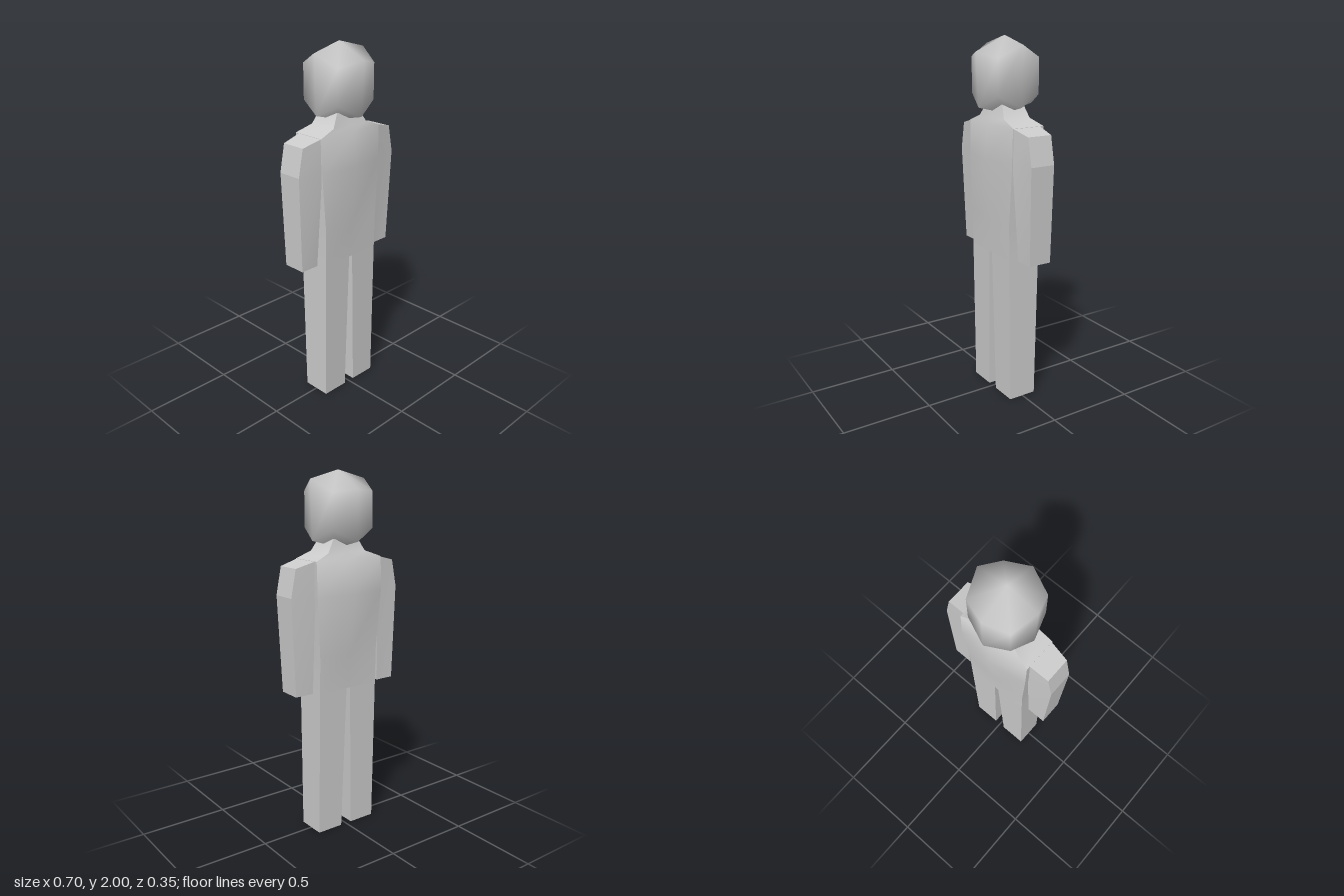
import * as THREE from 'three';
import { toCreasedNormals } from 'three/addons/utils/BufferGeometryUtils.js';

// Skin rings of points, listed bottom to top and counter-clockwise from above.
// Each end closes on a centre point; crease = 0 keeps the whole surface smooth.
function loft(rings, crease, bottomY, topY) {
  const n = rings[0].length, index = [];
  const centre = (ring, y) => [
    ring.reduce((s, p) => s + p[0], 0) / n,
    y ?? ring.reduce((s, p) => s + p[1], 0) / n,
    ring.reduce((s, p) => s + p[2], 0) / n];
  const last = rings.length - 1;
  const points = [...rings.flat(), centre(rings[0], bottomY), centre(rings[last], topY)];
  const low = rings.length * n, high = low + 1;
  for (let j = 0; j < n; j++) {
    const k = (j + 1) % n;
    for (let i = 0; i < last; i++) {
      const a = i * n + j, b = i * n + k;
      index.push(a, b, b + n, a, b + n, a + n);
    }
    index.push(low, k, j, high, last * n + j, last * n + k);
  }
  const geo = new THREE.BufferGeometry();
  geo.setAttribute('position', new THREE.Float32BufferAttribute(points.flat(), 3));
  geo.setIndex(index);
  geo.computeVertexNormals();
  return crease ? toCreasedNormals(geo, crease) : geo;
}

// Mirror rings to the other side, keeping the corner order outward
const mirror = (rings, s) => s > 0 ? rings
  : rings.map(r => r.map(([x, y, z]) => [-x, y, z]).reverse());

export function createModel() {
  const group = new THREE.Group();
  const grey = new THREE.MeshStandardMaterial({ color: 0xcccccc });
  grey.name = 'plain grey';
  const add = (name, geo) => {
    const mesh = new THREE.Mesh(geo, grey);
    mesh.name = name;
    group.add(mesh);
  };

  // Head: eight-sided, with the corners cut back at top and bottom
  const headRing = (c, side, front, back, w, zf, zb) => [
    [w, side, 0], [0.13, c, -0.13], [0, back, zb], [-0.13, c, -0.13],
    [-w, side, 0], [-0.13, c, 0.122], [0, front, zf], [0.13, c, 0.122]];
  add('head', loft([
    headRing(1.7, 1.64, 1.635, 1.64, 0.165, 0.16, -0.175),
    headRing(1.89, 1.955, 1.92, 1.905, 0.175, 0.174, -0.175),
  ], 0, 1.595, 2));

  // Torso and neck: y, half width, front z at centre and side, back z at centre and side
  const torso = [
    [0.835, 0.19, 0.092, 0.09, -0.1, -0.097],
    [1.03, 0.19, 0.097, 0.093, -0.108, -0.1],
    [1.36, 0.212, 0.125, 0.09, -0.148, -0.112],
    [1.545, 0.212, 0.105, 0.085, -0.112, -0.105],
    [1.58, 0.12, 0.085, 0.08, -0.085, -0.08],
    [1.66, 0.072, 0.062, 0.06, -0.067, -0.065],
  ].map(([y, w, fc, fs, bc, bs]) => [
    [w, y, fs], [w, y, bs], [0, y, bc], [-w, y, bs], [-w, y, fs], [0, y, fc]]);
  add('torso', loft(torso, 0.7));

  // Four-cornered limb section: inner x, y, front z, back z, then the same for the outer side
  const section = ([xi, yi, fi, bi, xo, yo, fo, bo]) => [
    [xo, yo, fo], [xo, yo, bo], [xi, yi, bi], [xi, yi, fi]];
  const arm = [
    [0.222, 0.835, 0.055, -0.075, 0.33, 0.835, 0.055, -0.075],
    [0.208, 1.365, 0.085, -0.085, 0.35, 1.365, 0.066, -0.075],
    [0.195, 1.548, 0.083, -0.085, 0.32, 1.515, 0.066, -0.075],
  ].map(section);
  const leg = [
    [0.035, 0, 0.082, -0.08, 0.19, 0, 0.082, -0.08],
    [0.012, 0.835, 0.09, -0.097, 0.19, 0.835, 0.09, -0.097],
  ].map(section);
  for (const [side, s] of [['left', 1], ['right', -1]]) {
    add(side + 'Arm', loft(mirror(arm, s), 0.2));
    add(side + 'Leg', loft(mirror(leg, s), 0.2));
  }
  return group;
}
